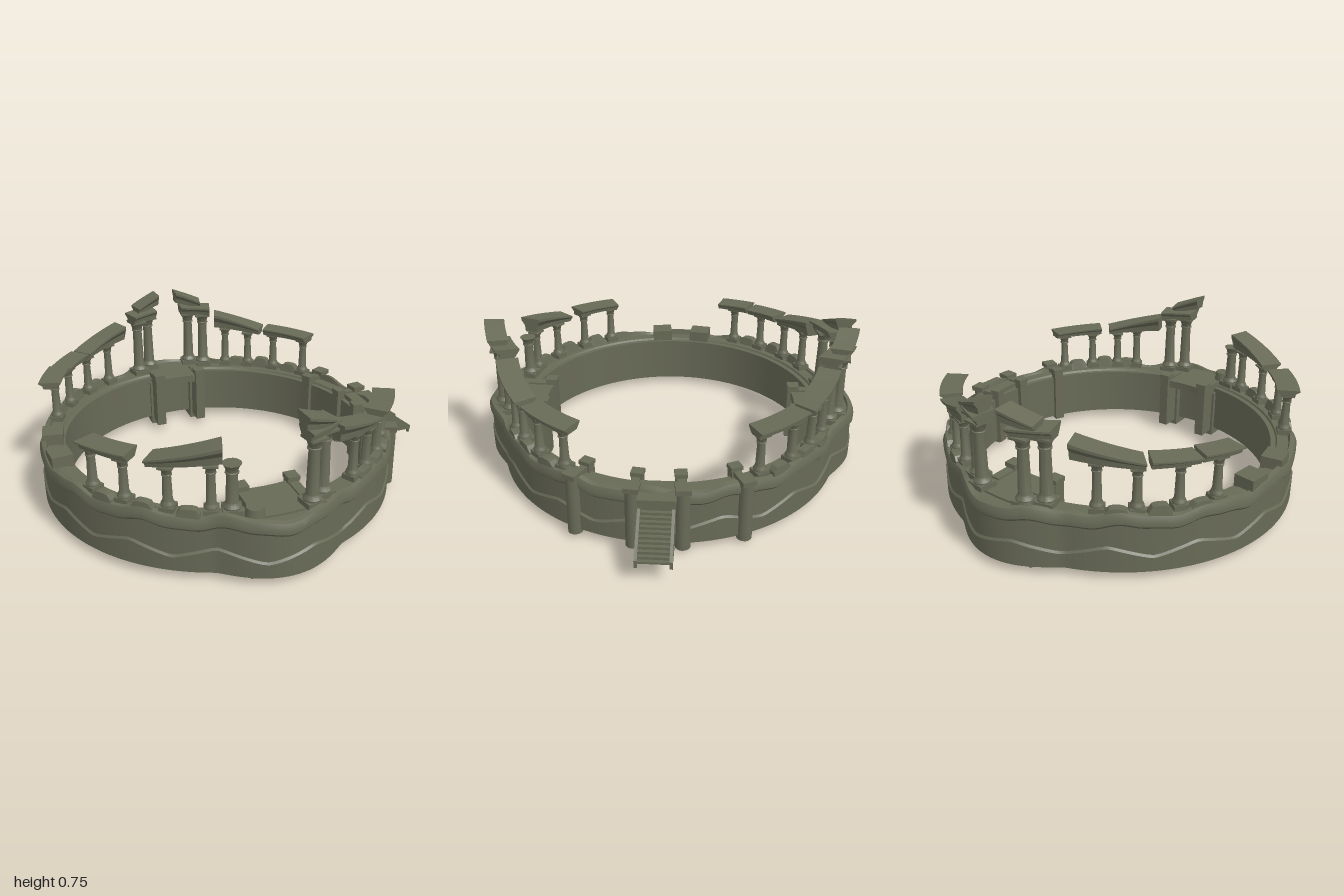
import * as THREE from 'three';
import { toCreasedNormals } from 'three/addons/utils/BufferGeometryUtils.js';

// Double-sided because the ring wall is a shell, open underneath
const stone = new THREE.MeshStandardMaterial({ color: 0x686a57, side: THREE.DoubleSide });
stone.name = 'weathered olive stone';

const rad = THREE.MathUtils.degToRad;
const lerp = THREE.MathUtils.lerp;
const INNER = 0.757, SHELF = 0.305;

// Outer wall radius, swelling into a round bay at front and back
function outerRadius(t) {
  const off = Math.asin(Math.min(1, Math.abs(Math.cos(t))));
  const k = Math.min(1, off / rad(20));
  return 0.876 + 0.081 * Math.cos(k * Math.PI / 2) ** 1.15;
}

// Sweeps a [radius, y] section around the ring; u runs 0..1.
// A shell goes all the way round and leaves its last edge open.
function sweep(t0, t1, n, section, shell = false) {
  const pos = [];
  const ring = [];
  for (let i = 0; i <= n; i++) {
    const u = i / n, t = lerp(t0, t1, u);
    ring.push(section(u, t).map(([r, y]) => [r * Math.cos(t), y, r * Math.sin(t)]));
  }
  const m = ring[0].length;
  for (let i = 0; i < n; i++) {
    for (let j = 0; j < (shell ? m - 1 : m); j++) {
      const k = (j + 1) % m;
      const a = ring[i][j], b = ring[i][k], c = ring[i + 1][k], d = ring[i + 1][j];
      pos.push(...a, ...b, ...c, ...a, ...c, ...d);
    }
  }
  if (!shell) {
    for (let j = 1; j < m - 1; j++) {
      pos.push(...ring[0][0], ...ring[0][j + 1], ...ring[0][j]);
      pos.push(...ring[n][0], ...ring[n][j], ...ring[n][j + 1]);
    }
  }
  const g = new THREE.BufferGeometry();
  g.setAttribute('position', new THREE.Float32BufferAttribute(pos, 3));
  g.computeVertexNormals();
  return toCreasedNormals(g, 0.5);
}

function add(parent, name, geometry, x = 0, y = 0, z = 0) {
  const mesh = new THREE.Mesh(geometry, stone);
  mesh.name = name;
  mesh.position.set(x, y, z);
  parent.add(mesh);
  return mesh;
}

// Group standing on the ring at angle t, local +x pointing outwards
function onRing(parent, name, t, r, y = 0) {
  const g = new THREE.Group();
  g.name = name;
  g.position.set(r * Math.cos(t), y, r * Math.sin(t));
  g.rotation.y = -t;
  parent.add(g);
  return g;
}

const box = (w, h, d) => new THREE.BoxGeometry(w, h, d);

// Column with square plinth, moulded base, tapered shaft and flared capital
function column(parent, t, r, top, s, abacus = true) {
  const g = onRing(parent, 'column', t, r, SHELF);
  const h = top - SHELF;
  add(g, 'plinth', box(s * 3.1, 0.025, s * 3.1), 0, 0.0125, 0);
  const pts = [[0, 0.02], [s * 1.45, 0.02], [s * 1.5, 0.032], [s * 1.25, 0.042], [s * 1.05, 0.052],
    [s * 0.88, h - s * 2.1], [s * 1.1, h - s * 2], [s * 1.1, h - s * 1.8], [s * 0.95, h - s * 1.7],
    [s * 1.15, h - s * 0.9], [s * 1.55, h - s * 0.35], [0, h - s * 0.35]];
  const lathe = new THREE.LatheGeometry(pts.map(p => new THREE.Vector2(...p)), 14);
  add(g, 'shaft', toCreasedNormals(lathe, 0.6));
  if (abacus) add(g, 'abacus', box(s * 3, s * 0.4, s * 3), 0, h - s * 0.2, 0);
}

// Curved lintel; each end is { t, r, bottom, top }
function lintel(parent, name, a, b, w = 0.032) {
  if (a.t > b.t) [a, b] = [b, a];
  add(parent, name, sweep(a.t, b.t, 8, u => {
    const r = lerp(a.r, b.r, u), y0 = lerp(a.bottom, b.bottom, u), y1 = lerp(a.top, b.top, u);
    const at = k => lerp(y0, y1, k);
    return [[r - w, y0], [r + w, y0], [r + w * 1.1, at(0.45)], [r + w * 1.7, at(0.8)], [r + w * 1.7, y1],
      [r - w * 1.7, y1], [r - w * 1.7, at(0.8)], [r - w * 1.1, at(0.45)]];
  }));
}

// Broken parapet stone with sloping ends
function rubble(parent, t, width, height) {
  const R = outerRadius(t);
  add(parent, 'parapetStone', sweep(t - width, t + width, 6, u => {
    const y = 0.31 + height * Math.min(1, 4 * Math.min(u, 1 - u) + 0.2);
    return [[R - 0.06, 0.29], [R - 0.008, 0.29], [R - 0.012, y], [R - 0.05, y]];
  }));
}

// Round-fronted pier clasping the wall
function pier(parent, t, r) {
  const g = onRing(parent, 'pier', t, r);
  add(g, 'pierCore', box(0.13, 0.3, 0.035), -0.01, 0.17, 0);
  add(g, 'pierInner', box(0.045, 0.3, 0.05), -0.07, 0.18, 0);
  add(g, 'pierOuter', new THREE.CylinderGeometry(0.033, 0.036, 0.3, 14), 0.045, 0.17, 0);
  add(g, 'pierCap', box(0.068, 0.025, 0.068), 0.045, 0.328, 0);
  add(g, 'pierInnerCap', box(0.05, 0.02, 0.058), -0.07, 0.33, 0);
}

// Colonnade of each quadrant, in degrees from the gate axis towards the bay
const QUADRANTS = [
  { sx: 1, sz: 1, columns: [31.7, 43.7, 54.2, 62.2], level: [[27.7, 47.2]], slope: [50.7, 72] },
  { sx: 1, sz: -1, columns: [32.8, 46.3, 57.3, 66.8], level: [[30.3, 49.8]], slope: [51.8, 71.3] },
  { sx: -1, sz: 1, columns: [29.8, 42.3, 56.3, 69], level: [[27.3, 45.3]], slope: [50.8, 72.3] },
  { sx: -1, sz: -1, columns: [24.7, 37.2, 49.7, 61.2], level: [[18.2, 31.4], [32, 46.2]], slope: [47.7, 68.5] },
];

export function createModel() {
  const model = new THREE.Group();
  model.name = 'ruinedRing';
  const ring = new THREE.Group();
  ring.name = 'ring';
  ring.position.x = -0.122;
  ring.rotation.y = -0.073;
  model.add(ring);

  // Ring wall with a zigzag lower band and a wavy cornice
  add(ring, 'ringWall', sweep(0, Math.PI * 2, 224, (u, t) => {
    const R = outerRadius(t);
    const zig = 0.13 + 0.028 * (2 / Math.PI) * Math.asin(0.97 * Math.sin(14 * t));
    const wave = 0.012 * Math.sin(14 * t + 1) + 0.004 * Math.sin(31 * t);
    return [[R, 0.04], [R, zig], [R - 0.008, zig + 0.01], [R - 0.008, 0.25 + wave],
      [R + 0.002, 0.262 + wave], [R + 0.003, 0.285 + wave], [R - 0.008, 0.31 + wave], [R - 0.03, 0.315 + wave],
      [R - 0.035, SHELF - 0.01], [INNER + 0.03, SHELF - 0.01], [INNER + 0.025, 0.285], [INNER, 0.285], [INNER, 0.04]];
  }, true));

  // Colonnades
  for (const { sx, sz, columns, level, slope } of QUADRANTS) {
    const q = deg => Math.atan2(sz * Math.sin(rad(deg)), sx * Math.cos(rad(deg)));
    const end = (deg, bottom, top) => ({ t: q(deg), r: 0.82, bottom, top });
    columns.forEach((deg, i) => column(ring, q(deg), 0.82, i === 3 ? 0.535 : 0.515, 0.021));
    for (const [a, b] of level) lintel(ring, 'levelLintel', end(a, 0.513, 0.546), end(b, 0.515, 0.556));
    lintel(ring, 'slopingLintel', end(slope[0], 0.513, 0.55), end(slope[1], 0.548, 0.628));
    for (let i = 0; i < 3; i++) {
      rubble(ring, q((columns[i] + columns[i + 1]) / 2), rad(3.4), 0.03 + 0.01 * (i % 2));
    }
  }

  // Front and back bays: platform, supports, tall columns, broken pediments
  for (const sz of [1, -1]) {
    const mid = sz * Math.PI / 2;
    add(ring, 'bayPlatform', sweep(mid - rad(10.5), mid + rad(10.5), 10, () =>
      [[0.65, 0.265], [0.88, 0.265], [0.88, SHELF], [0.65, SHELF]]));
    for (const sx of [1, -1]) {
      const x = sx * 0.12;
      add(ring, 'baySupport', box(0.05, 0.3, 0.055), x, 0.18, sz * 0.652);
      add(ring, 'baySupportCap', box(0.058, 0.022, 0.06), x, 0.328, sz * 0.652);
      add(ring, 'bayButtress', box(0.045, 0.285, 0.12), x, 0.172, sz * 0.72);
      add(ring, 'bayFoot', box(0.07, 0.26, 0.15), x, 0.13, sz * 0.795);

      const q = deg => mid - sx * sz * rad(deg);
      const ruined = sx < 0 && sz > 0;
      if (ruined) {
        // One free-standing column beside an empty round base
        column(ring, q(15), 0.82, 0.545, 0.027, false);
        const base = onRing(ring, 'emptyBase', q(9), 0.862, SHELF);
        add(base, 'drum', new THREE.CylinderGeometry(0.038, 0.044, 0.045, 18), 0, 0.0225, 0);
        continue;
      }
      column(ring, q(8.2), 0.862, 0.625, 0.028);
      column(ring, q(13.8), 0.825, 0.625, 0.028);
      lintel(ring, 'entablature', { t: q(5.2), r: 0.868, bottom: 0.622, top: 0.668 },
        { t: q(16.8), r: 0.815, bottom: 0.622, top: 0.668 }, 0.035);
      lintel(ring, 'brokenPediment', { t: q(3.5), r: 0.885, bottom: 0.688, top: 0.75 },
        { t: q(13), r: 0.855, bottom: 0.655, top: 0.695 }, 0.03);
    }
  }

  // Piers at the gate and further along the wall
  for (const s of [1, -1]) {
    pier(ring, s * 0.128, 0.825);
    pier(ring, s * rad(26.3), 0.825);
  }

  // Loose blocks on the wall opposite the gate
  for (const deg of [173, 189.5]) {
    const g = onRing(ring, 'wallBlock', rad(deg), 0.812);
    add(g, 'block', box(0.1, 0.06, 0.11), 0, 0.32, 0);
  }

  // Landing and stair
  add(ring, 'landing', box(0.15, 0.05, 0.17), 0.855, 0.285, 0);
  const steps = 12, x0 = 0.9, x1 = 1.105, y0 = 0.275, y1 = 0.125;
  const stair = new THREE.Shape();
  stair.moveTo(x0, 0.115);
  stair.lineTo(x1, 0.115);
  for (let i = steps; i > 0; i--) {
    const y = lerp(y0, y1, i / steps);
    stair.lineTo(lerp(x0, x1, i / steps), y);
    stair.lineTo(lerp(x0, x1, (i - 1) / steps), y);
  }
  add(ring, 'stair', new THREE.ExtrudeGeometry(stair, { depth: 0.14, bevelEnabled: false }), 0, 0, -0.07);
  const rail = new THREE.Shape([[x0, 0.115], [1.113, 0.115], [1.113, 0.135], [x0, 0.29]]
    .map(p => new THREE.Vector2(...p)));
  for (const s of [1, -1]) {
    add(ring, 'stairRail', new THREE.ExtrudeGeometry(rail, { depth: 0.014, bevelEnabled: false }),
      0, 0, s * 0.075 - 0.007);
    add(ring, 'stairFoot', box(0.012, 0.02, 0.014), 1.105, 0.106, s * 0.075);
  }
  return model;
}
